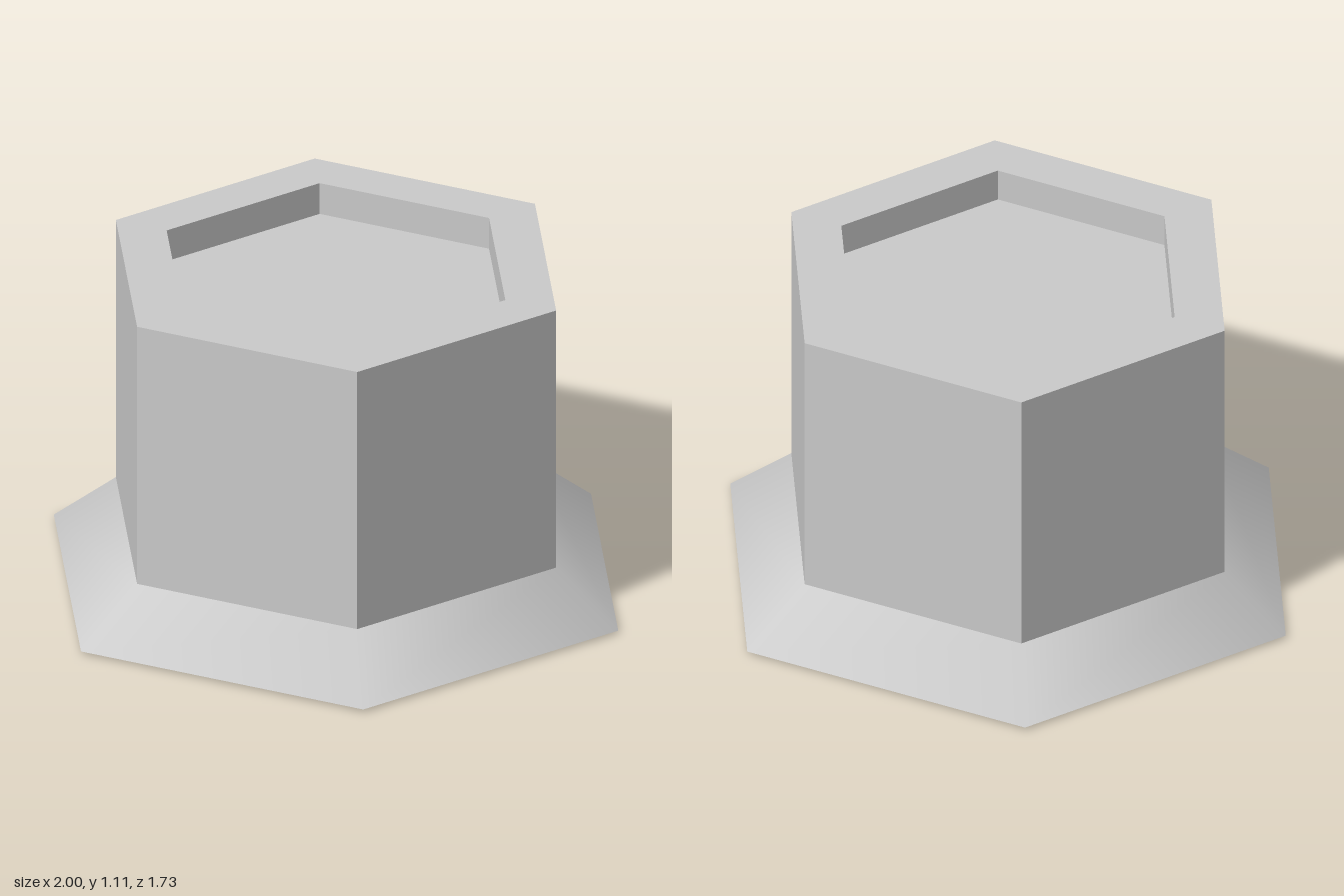
import * as THREE from 'three';

const hexPoints = (r) => Array.from({ length: 6 }, (_, i) =>
  new THREE.Vector2(r * Math.cos(i * Math.PI / 3), r * Math.sin(i * Math.PI / 3)));

export function createModel() {
  const group = new THREE.Group();
  const flat = new THREE.MeshStandardMaterial({ color: 0xcccccc, flatShading: true });
  const smooth = new THREE.MeshStandardMaterial({ color: 0xcccccc });

  const add = (name, geometry, material) => {
    const mesh = new THREE.Mesh(geometry, material);
    mesh.name = name;
    group.add(mesh);
  };

  // Six-sided prism with corners on the x axis, between two heights
  const hexPrism = (rTop, rBottom, y0, y1) =>
    new THREE.CylinderGeometry(rTop, rBottom, y1 - y0, 6, 1, false, Math.PI / 6)
      .translate(0, (y0 + y1) / 2, 0);

  // Hollow hexagonal wall, full height
  const section = new THREE.Shape(hexPoints(0.78));
  section.holes.push(new THREE.Path(hexPoints(0.6)));
  const wall = new THREE.ExtrudeGeometry(section, { depth: 1.11, bevelEnabled: false });
  add('wall', wall.rotateX(-Math.PI / 2), flat);

  // Sloped, softly shaded skirt just above the ground; its underside closes the base
  add('flange', hexPrism(0.78, 1, 0.01, 0.19), smooth);

  // Core filling the wall, recessed below the rim
  add('core', hexPrism(0.6, 0.6, 0.1, 1.0), flat);

  return group;
}
